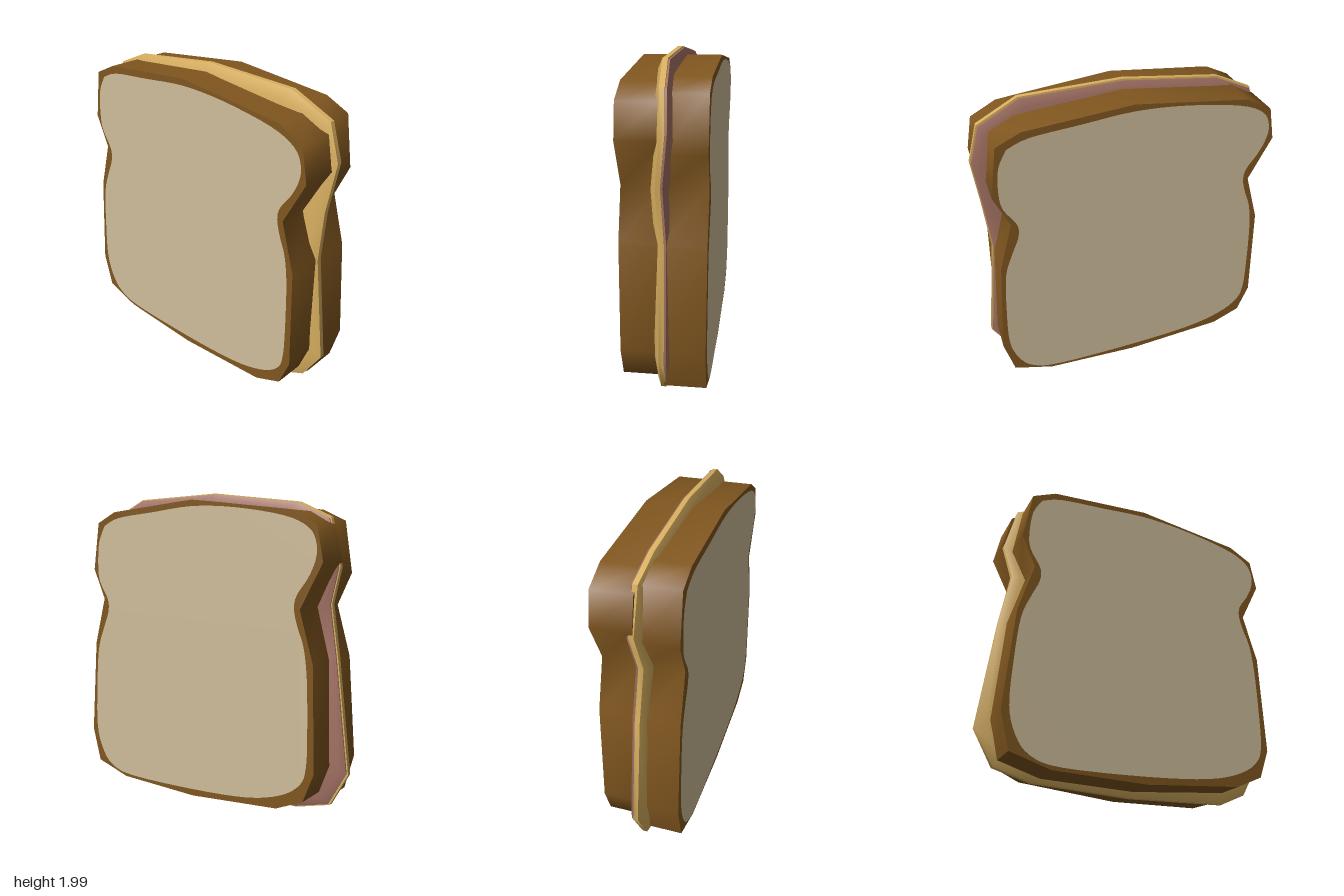
import * as THREE from 'three';
import { toCreasedNormals } from 'three/addons/utils/BufferGeometryUtils.js';

const mat = (name, color) => {
  const m = new THREE.MeshStandardMaterial({ color });
  m.name = name;
  return m;
};

// Slice outline, clockwise from the top middle
const CRUST = [
  [0.01, 1.95], [0.72, 1.87], [0.88, 1.785], [0.92, 1.58], [0.78, 1.31], [0.87, 1.0],
  [0.89, 0.36], [0.82, 0.18], [0.64, 0.1], [0.01, 0.045], [-0.58, 0.06], [-0.83, 0.135],
  [-0.89, 0.36], [-0.84, 0.99], [-0.75, 1.305], [-0.84, 1.505], [-0.79, 1.82], [-0.64, 1.89],
];

// Soft outline of the pale crumb
const CRUMB = [
  [-0.73, 1.8], [-0.6, 1.85], [-0.31, 1.88], [0.01, 1.91], [0.33, 1.895], [0.67, 1.84],
  [0.83, 1.77], [0.88, 1.68], [0.875, 1.59], [0.83, 1.49], [0.76, 1.39], [0.745, 1.31],
  [0.77, 1.21], [0.81, 1.1], [0.835, 0.92], [0.845, 0.6], [0.84, 0.39], [0.8, 0.28],
  [0.67, 0.19], [0.43, 0.125], [0.01, 0.09], [-0.52, 0.08], [-0.71, 0.125], [-0.8, 0.23],
  [-0.845, 0.39], [-0.84, 0.65], [-0.815, 0.94], [-0.76, 1.1], [-0.715, 1.21], [-0.715, 1.3],
  [-0.785, 1.42], [-0.8, 1.53], [-0.785, 1.69],
];

// Filling outline with a wavy z for each point
const FILLING = [
  [0.01, 2.0, 0.015], [0.63, 1.98, 0.015], [0.88, 1.855, -0.005], [0.945, 1.63, -0.012],
  [0.91, 1.33, 0.02], [0.88, 1.0, 0.006], [0.96, 0.315, 0], [0.84, 0.115, 0.005],
  [0.66, 0.035, 0.02], [0.01, 0.01, 0.015], [-0.62, 0.035, 0.015], [-0.85, 0.1, 0.01],
  [-0.97, 0.315, 0], [-0.885, 1.0, 0.005], [-0.83, 1.33, 0.018], [-0.89, 1.55, -0.008],
  [-0.82, 1.835, 0], [-0.6, 1.93, 0.015],
];

const vectors = (points) => points.map(([x, y]) => new THREE.Vector2(x, y));

function makeSlice(name, crust, crumb) {
  const slice = new THREE.Group();
  slice.name = name;
  const body = new THREE.ExtrudeGeometry(new THREE.Shape(vectors(CRUST)), {
    depth: 0.245, bevelEnabled: false,
  });
  const bodyMesh = new THREE.Mesh(toCreasedNormals(body, 1.0), crust);
  bodyMesh.name = 'crust';

  const curve = new THREE.SplineCurve(vectors([...CRUMB, CRUMB[0]]));
  const face = new THREE.ShapeGeometry(new THREE.Shape(curve.getPoints(132).slice(0, -1)));
  const faceMesh = new THREE.Mesh(face, crumb);
  faceMesh.name = 'crumbFace';
  faceMesh.position.z = 0.249;
  slice.add(bodyMesh, faceMesh);
  return slice;
}

// Sheet made of rings [scale, z offset], closed by a fan; side = 1 faces front, -1 back
function makeSheet(name, rings, side, material) {
  const n = FILLING.length;
  const pos = [];
  const index = [];
  for (const [s, dz] of rings) {
    for (const [x, y, z] of FILLING) pos.push(x * s, 1 + (y - 1) * s, z + dz);
  }
  pos.push(0, 1, rings[rings.length - 1][1]);
  const centre = rings.length * n;
  const tri = (a, b, c) => (side > 0 ? index.push(a, c, b) : index.push(a, b, c));
  for (let i = 0; i < n; i++) {
    const j = (i + 1) % n;
    for (let r = 0; r < rings.length - 1; r++) {
      const a = r * n;
      tri(a + i, a + j, a + n + i);
      tri(a + j, a + n + j, a + n + i);
    }
    const last = (rings.length - 1) * n;
    tri(last + i, last + j, centre);
  }
  const g = new THREE.BufferGeometry();
  g.setAttribute('position', new THREE.Float32BufferAttribute(pos, 3));
  g.setIndex(index);
  const mesh = new THREE.Mesh(toCreasedNormals(g, 0.8), material);
  mesh.name = name;
  return mesh;
}

export function createModel() {
  const crust = mat('crustBrown', 0x80561f);
  const crumb = mat('crumbCream', 0xcfbd9b);
  const cheese = mat('cheeseYellow', 0xd9b060);
  const ham = mat('hamPink', 0xa47264);
  const model = new THREE.Group();
  model.name = 'sandwich';

  // Two identical slices, the back one turned around
  const front = makeSlice('frontSlice', crust, crumb);
  const back = makeSlice('backSlice', crust, crumb);
  back.rotation.y = Math.PI;
  back.position.x = 0.03;
  model.add(front, back);

  // Fillings meet at the rim and slope in under the bread
  model.add(
    makeSheet('cheeseSheet', [[0.97, -0.016], [1, -0.015], [1, 0.015], [0.94, 0.045], [0.8, 0.045]], 1, cheese),
    makeSheet('hamSheet', [[0.99, -0.014], [0.992, -0.026], [0.95, -0.045], [0.8, -0.045]], -1, ham),
  );
  return model;
}
